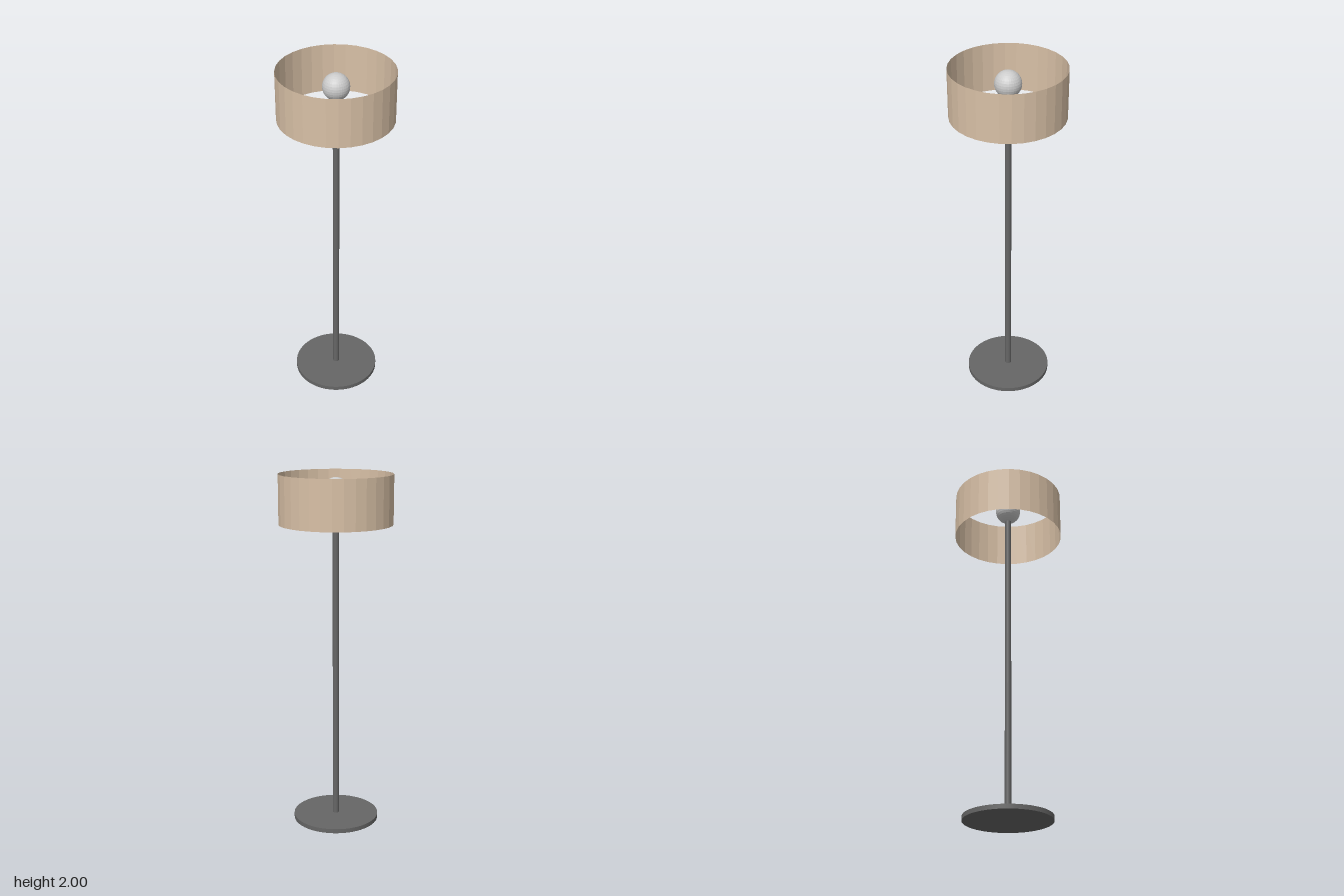
import * as THREE from 'three';

export function createModel() {
  const lamp = new THREE.Group();
  lamp.name = 'floorLamp';

  const metal = new THREE.MeshStandardMaterial({ color: 0x666666 });
  const glass = new THREE.MeshStandardMaterial({ color: 0xcccccc, flatShading: true });
  const fabric = new THREE.MeshStandardMaterial({ color: 0xd8c0a6, flatShading: true, side: THREE.DoubleSide });

  const add = (name, geometry, material, y) => {
    const mesh = new THREE.Mesh(geometry, material);
    mesh.name = name;
    mesh.position.y = y;
    lamp.add(mesh);
  };

  // upright cylinder spanning the heights y0 to y1
  const addCylinder = (name, radius, y0, y1, sides, material, open = false) =>
    add(name, new THREE.CylinderGeometry(radius, radius, y1 - y0, sides, 1, open), material, (y0 + y1) / 2);

  const baseTop = 0.025;
  const bulbRadius = 0.073;
  const bulbY = 1.909;

  // round foot and pole, which ends just inside the bulb
  addCylinder('base', 0.244, 0, baseTop, 64, metal);
  addCylinder('pole', 0.018, baseTop, bulbY - bulbRadius + 0.003, 32, metal);

  // bulb
  add('bulb', new THREE.SphereGeometry(bulbRadius, 32, 16), glass, bulbY);

  // thin drum shade, open at both ends
  addCylinder('shade', 0.315, 1.727, 2, 32, fabric, true);

  return lamp;
}
